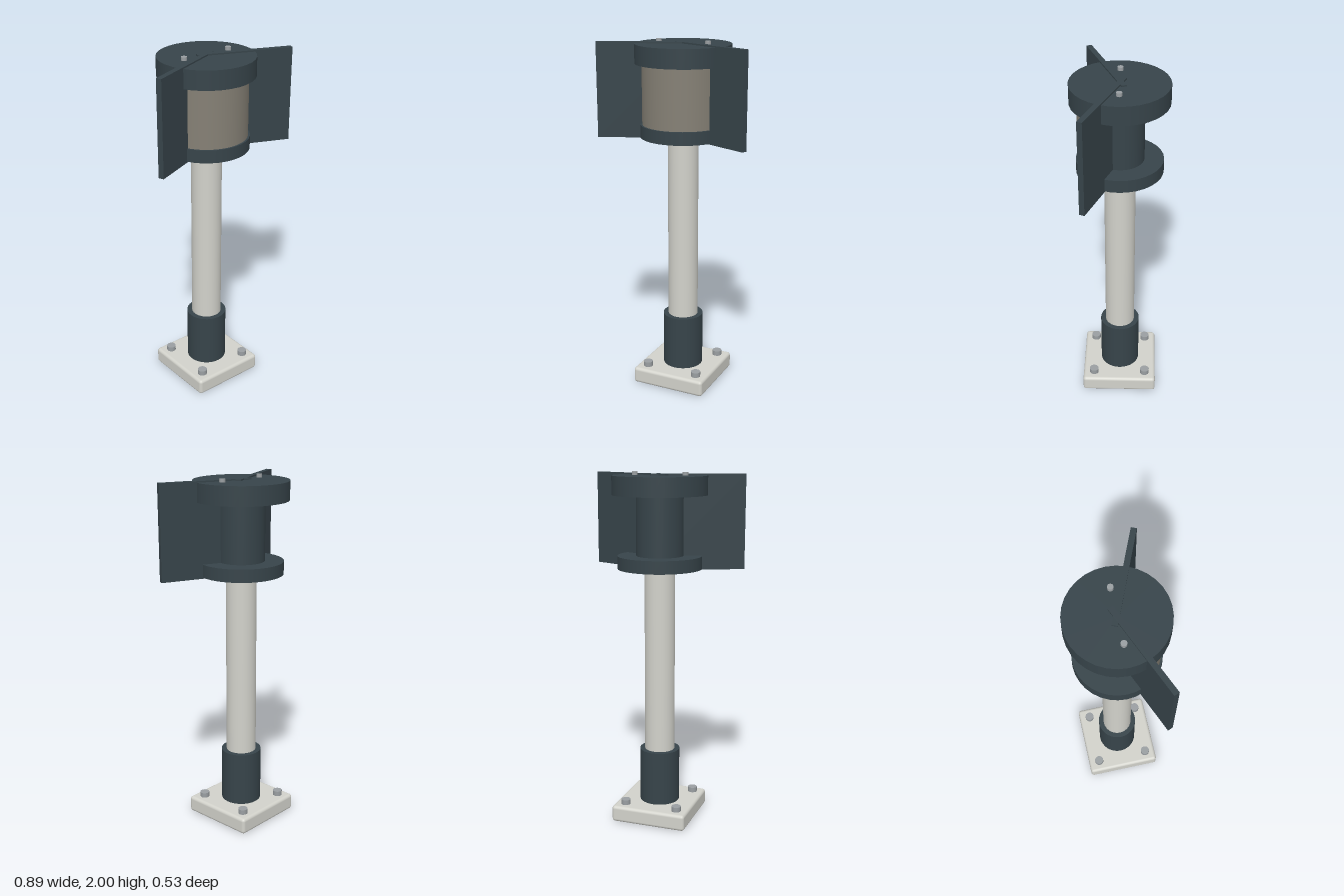
import * as THREE from 'three';
import { RoundedBoxGeometry } from 'three/addons/geometries/RoundedBoxGeometry.js';

export function createModel() {
  const model = new THREE.Group();
  model.name = 'beaconPost';

  const material = (color) => new THREE.MeshStandardMaterial({ color });
  const dark = material(0x37444a);
  const light = material(0xd2d2cb);
  const metal = material(0x9a9fa2);
  const lensMat = material(0x858075);
  lensMat.side = THREE.DoubleSide;

  const add = (name, geometry, mat, x, y, z) => {
    const mesh = new THREE.Mesh(geometry, mat);
    mesh.name = name;
    mesh.position.set(x, y, z);
    model.add(mesh);
    return mesh;
  };
  // Upright cylinder between two heights
  const post = (name, r, y0, y1, mat, x = 0, z = 0, sides = 32) =>
    add(name, new THREE.CylinderGeometry(r, r, y1 - y0, sides), mat, x, (y0 + y1) / 2, z);

  // Base plate with a bolt in each corner
  add('basePlate', new RoundedBoxGeometry(0.44, 0.095, 0.44, 3, 0.018), light, 0, 0.0475, 0);
  for (const x of [-0.155, 0.155]) {
    for (const z of [-0.155, 0.155]) post('baseBolt', 0.027, 0.09, 0.124, metal, x, z, 16);
  }

  // Sleeve and pole
  post('sleeve', 0.115, 0.09, 0.41, dark);
  post('pole', 0.086, 0.38, 1.48, light);

  // Lamp head: lower disc, core, upper cap
  post('lowerDisc', 0.237, 1.47, 1.542, dark);
  post('core', 0.132, 1.53, 1.89, dark);
  post('upperCap', 0.265, 1.876, 1.981, dark);

  // Curved lens filling the front sector between the shields
  const shieldAngle = 0.395;
  const halfSector = Math.PI / 2 - shieldAngle;
  add('lens', new THREE.CylinderGeometry(0.226, 0.226, 0.35, 32, 1, true, -halfSector, 2 * halfSector),
    lensMat, 0, 1.709, 0);

  // Pair of swept shield panels and cap pins
  for (const side of [-1, 1]) {
    const panel = add('shieldPanel', new THREE.BoxGeometry(0.526, 0.525, 0.03), dark,
      side * 0.195, 1.7265, 0.079);
    panel.rotation.y = -side * shieldAngle;
    post('capPin', 0.016, 1.97, 2, metal, side * 0.147, 0, 16);
  }

  return model;
}
